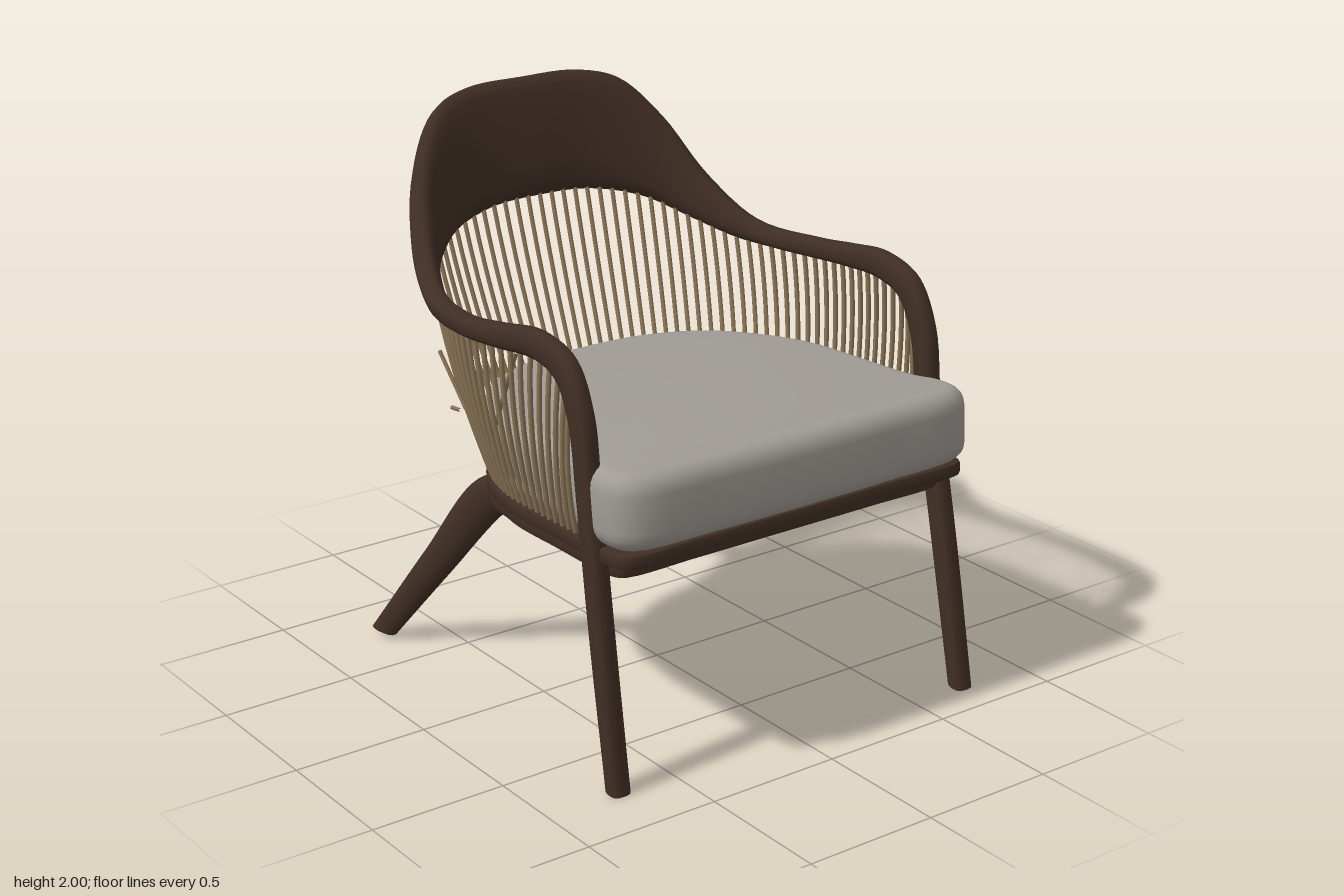
import * as THREE from 'three';
import { toCreasedNormals } from 'three/addons/utils/BufferGeometryUtils.js';

const wood = new THREE.MeshStandardMaterial({ color: 0x402e24 });
wood.name = 'darkWood';
const cane = new THREE.MeshStandardMaterial({ color: 0x8a7456 });
cane.name = 'cane';
const fabric = new THREE.MeshStandardMaterial({ color: 0xa09b95 });
fabric.name = 'greyFabric';

const TILT = 0.046; // seat slopes down towards the back
const V = (x, y, z) => new THREE.Vector3(x, y, z);

function add(parent, name, geometry, material) {
  const mesh = new THREE.Mesh(geometry, material);
  mesh.name = name;
  parent.add(mesh);
  return mesh;
}

// Mirror half a list of stations (first one on the centre line) to both sides
const flip = (s) => ({ l: V(-s.l.x, s.l.y, s.l.z), u: V(-s.u.x, s.u.y, s.u.z), t: s.t });
const station = ([lx, ly, lz, ux, uy, uz, t]) => ({ l: V(lx, ly, lz), u: V(ux, uy, uz), t });
const mirrored = (half) => [...half.slice(1).reverse().map(flip), ...half];

// Sweep a rounded section spanning from a lower to an upper rail, t thick
function sweep(stations, steps, sides = 16, power = 0.7) {
  const lower = new THREE.CatmullRomCurve3(stations.map((s) => s.l));
  const upper = new THREE.CatmullRomCurve3(stations.map((s) => s.u));
  const thick = new THREE.CatmullRomCurve3(stations.map((s, i) => V(s.t, i, 0)));
  const mid = (u) => lower.getPoint(u).add(upper.getPoint(u)).multiplyScalar(0.5);
  const soft = (v) => Math.sign(v) * Math.abs(v) ** power;
  const pos = [], index = [];
  for (let i = 0; i <= steps; i++) {
    const u = i / steps;
    const c = mid(u);
    const tangent = mid(Math.min(1, u + 0.004)).sub(mid(Math.max(0, u - 0.004))).normalize();
    const a = upper.getPoint(u).sub(lower.getPoint(u)).multiplyScalar(0.5);
    const n = tangent.cross(a).normalize().multiplyScalar(thick.getPoint(u).x / 2);
    for (let j = 0; j < sides; j++) {
      const th = (j / sides) * Math.PI * 2;
      const p = c.clone().addScaledVector(a, soft(Math.cos(th))).addScaledVector(n, soft(Math.sin(th)));
      pos.push(p.x, p.y, p.z);
    }
  }
  for (let i = 0; i < steps; i++) {
    for (let j = 0; j < sides; j++) {
      const k = (j + 1) % sides;
      const a = i * sides + j, b = i * sides + k;
      index.push(a, b, a + sides, b, b + sides, a + sides);
    }
  }
  // end caps
  const end = steps * sides;
  for (let j = 1; j < sides - 1; j++) {
    index.push(0, j + 1, j, end, end + j, end + j + 1);
  }
  const g = new THREE.BufferGeometry();
  g.setAttribute('position', new THREE.Float32BufferAttribute(pos, 3));
  g.setIndex(index);
  return toCreasedNormals(g, 0.9);
}

// Closed plan outline from half a list of [x, z] points, optionally scaled
function outline(half, sx = 1, sz = 1) {
  const right = half.map(([x, z]) => V(x * sx, -z * sz, 0));
  const left = half.filter(([x]) => x > 0).reverse().map(([x, z]) => V(-x * sx, -z * sz, 0));
  const curve = new THREE.CatmullRomCurve3([...right, ...left], true);
  return curve.getPoints(100).slice(0, -1).map((p) => new THREE.Vector2(p.x, p.y));
}

// Lay an extruded plan flat, with its base at height y on the tilted seat plane
function plate(shape, depth, y, bevel, bevelHeight, segments) {
  const g = new THREE.ExtrudeGeometry(shape, {
    depth: depth - 2 * bevelHeight, bevelSize: bevel, bevelThickness: bevelHeight, bevelSegments: segments,
  });
  g.rotateX(-Math.PI / 2);
  g.translate(0, bevelHeight, 0);
  g.rotateX(-TILT);
  g.translate(0, y, 0);
  return toCreasedNormals(g, 0.7);
}

export function createModel() {
  const chair = new THREE.Group();
  chair.name = 'armchair';

  // Crest, arms and front legs in one continuous bent member
  const armHalf = [
    [0, 1.58, -0.73, 0, 2.0, -0.84, 0.08],
    [0.22, 1.57, -0.72, 0.24, 1.995, -0.83, 0.08],
    [0.42, 1.52, -0.66, 0.40, 1.95, -0.785, 0.08],
    [0.56, 1.44, -0.555, 0.535, 1.8, -0.69, 0.08],
    [0.65, 1.385, -0.41, 0.63, 1.6, -0.55, 0.08],
    [0.705, 1.37, -0.26, 0.705, 1.46, -0.35, 0.075],
    [0.75, 1.375, -0.05, 0.75, 1.45, -0.04, 0.07],
    [0.75, 1.39, 0.15, 0.75, 1.475, 0.15, 0.07],
    [0.73, 1.40, 0.35, 0.73, 1.50, 0.36, 0.07],
    [0.725, 1.36, 0.47, 0.725, 1.45, 0.53, 0.07],
    [0.725, 1.24, 0.535, 0.725, 1.29, 0.625, 0.07],
    [0.725, 1.0, 0.575, 0.725, 1.02, 0.665, 0.07],
    [0.725, 0.5, 0.67, 0.725, 0.51, 0.755, 0.075],
    [0.72, 0.01, 0.77, 0.72, 0.0, 0.84, 0.08],
  ].map(station);
  const arm = mirrored(armHalf);
  // the two front feet are splayed slightly differently
  for (const [i, dz] of [[0, -0.04], [1, -0.02], [arm.length - 2, 0.02], [arm.length - 1, 0.04]]) {
    arm[i].l.z += dz;
    arm[i].u.z += dz;
  }
  add(chair, 'crestArmsAndFrontLegs', sweep(arm, 156), wood);

  // Rear legs joined by a forward-curving crossbeam
  const rearHalf = [
    [0, 0.675, 0.02, 0, 0.765, 0.02, 0.11],
    [0.24, 0.675, -0.06, 0.24, 0.765, -0.06, 0.11],
    [0.40, 0.655, -0.2, 0.43, 0.75, -0.24, 0.11],
    [0.46, 0.59, -0.28, 0.52, 0.70, -0.37, 0.1],
    [0.58, 0.31, -0.48, 0.63, 0.38, -0.57, 0.085],
    [0.69, 0.01, -0.70, 0.73, 0.03, -0.79, 0.06],
  ].map(station);
  add(chair, 'rearLegsAndCrossbeam', sweep(mirrored(rearHalf), 80, 14, 0.85), wood);

  // Seat deck and the rim below it
  const deckHalf = [[0, -0.45], [0.25, -0.42], [0.48, -0.31], [0.62, -0.13], [0.69, 0.08],
    [0.71, 0.4], [0.715, 0.78], [0.69, 0.81], [0.4, 0.815], [0, 0.815]];
  add(chair, 'seatDeck', plate(new THREE.Shape(outline(deckHalf)), 0.052, 0.77, 0.012, 0.012, 2), wood);
  const rim = new THREE.Shape(outline(deckHalf, 0.95, 0.9).map((p) => p.add(new THREE.Vector2(0, 0.055 * (p.y > 0 ? 1 : 0)))));
  rim.holes.push(new THREE.Path(outline(deckHalf, 0.86, 0.8)));
  add(chair, 'seatRim', plate(rim, 0.055, 0.711, 0.012, 0.012, 2), wood);

  // Cushion
  const cushionHalf = [[0, -0.42], [0.24, -0.4], [0.44, -0.3], [0.56, -0.14], [0.635, 0.06], [0.65, 0.35],
    [0.66, 0.6], [0.69, 0.7], [0.67, 0.785], [0.35, 0.81], [0, 0.815]];
  add(chair, 'cushion', plate(new THREE.Shape(outline(cushionHalf)), 0.265, 0.828, 0.06, 0.07, 5), fabric);

  // Cane spindles fanned between the deck edge and the underside of the arms
  const spindles = new THREE.Group();
  spindles.name = 'spindles';
  chair.add(spindles);
  const COUNT = 72;
  const tops = new THREE.CatmullRomCurve3(arm.slice(3, -3).map((s) => s.l)).getSpacedPoints(COUNT);
  const baseHalf = [[0, -0.44], [0.25, -0.41], [0.48, -0.3], [0.61, -0.13], [0.68, 0.08], [0.7, 0.3], [0.71, 0.56]]
    .map(([x, z]) => V(x, 0.815 + TILT * z, z));
  const bases = new THREE.CatmullRomCurve3(
    [...baseHalf.slice(1).reverse().map((p) => V(-p.x, p.y, p.z)), ...baseHalf]).getSpacedPoints(COUNT);
  for (let i = 1; i < COUNT; i++) {
    const a = bases[i], b = tops[i];
    b.y += 0.015;
    const bow = V(a.x, 0, Math.min(a.z, 0)).normalize().multiplyScalar(0.04);
    const control = a.clone().lerp(b, 0.5).add(bow);
    const curve = new THREE.QuadraticBezierCurve3(a, control, b);
    add(spindles, 'spindle', new THREE.TubeGeometry(curve, 8, 0.009, 6), cane);
  }
  // A few loose strands on one side
  for (const [ay, az, by, bz] of [[1.38, 0.2, 1.06, 0.03], [1.25, -0.28, 1.07, -0.15], [1.07, -0.15, 1.05, -0.24]]) {
    const curve = new THREE.LineCurve3(V(-0.72, ay, az), V(-0.7, by, bz));
    add(spindles, 'looseStrand', new THREE.TubeGeometry(curve, 1, 0.008, 6), cane);
  }
  return chair;
}
